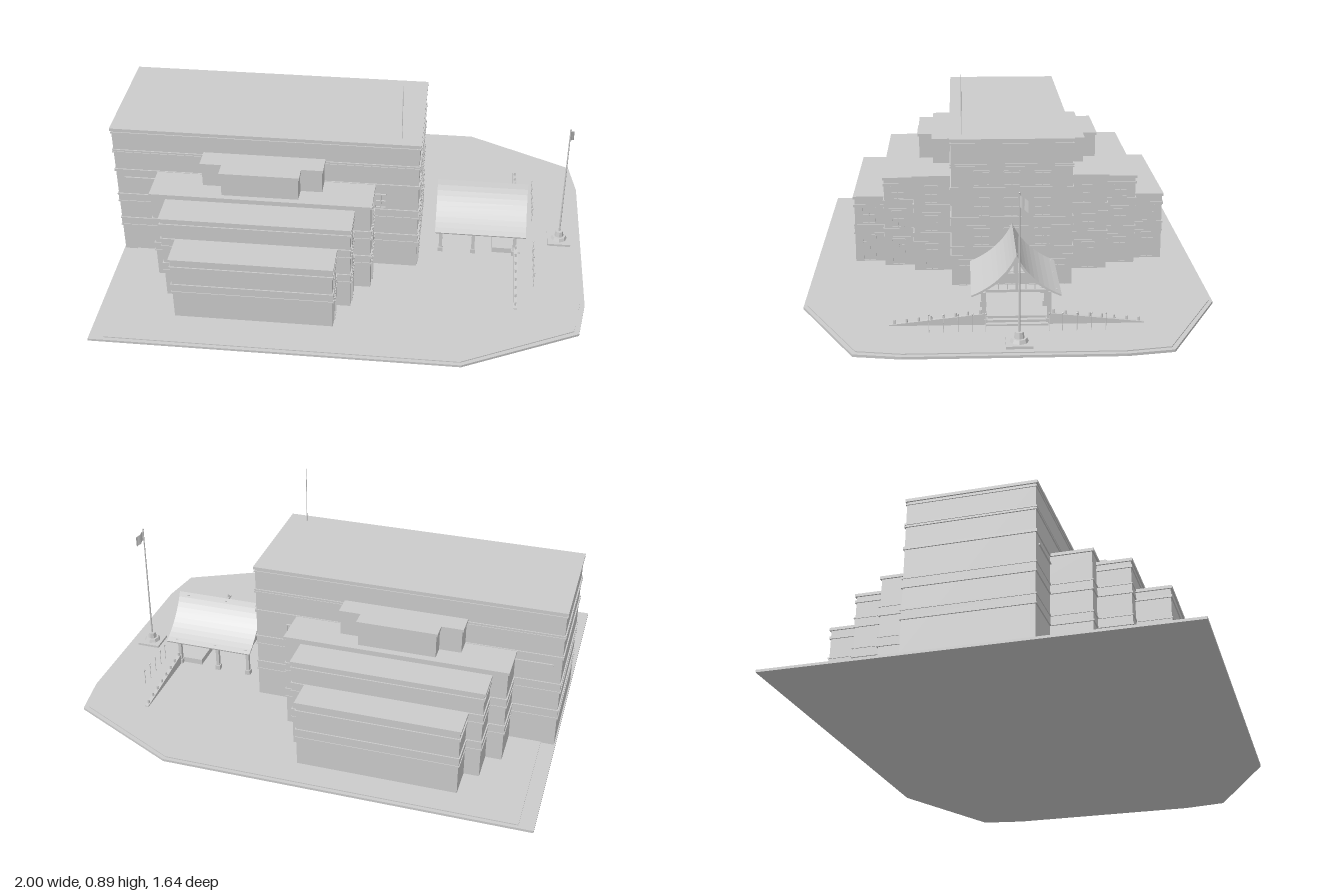
import * as THREE from 'three';

const CZ = -0.02; // symmetry axis of the building
const mat = new THREE.MeshStandardMaterial({ color: 0xcccccc, side: THREE.DoubleSide, flatShading: true });

function add(parent, name, geo, x = 0, y = 0, z = 0) {
  const m = new THREE.Mesh(geo, mat);
  m.name = name;
  m.position.set(x, y, z);
  parent.add(m);
  return m;
}

// box given by its min/max limits
function box(parent, name, x0, x1, y0, y1, z0, z1) {
  return add(parent, name, new THREE.BoxGeometry(x1 - x0, y1 - y0, z1 - z0),
    (x0 + x1) / 2, (y0 + y1) / 2, (z0 + z1) / 2);
}

function group(parent, name) {
  const g = new THREE.Group();
  g.name = name;
  parent.add(g);
  return g;
}

// flat slab with clipped front corners; half outline mirrored in z
function slab(parent, name, half, y0, y1) {
  const pts = [...half, ...half.slice().reverse().map(([x, z]) => [x, -z])];
  const shape = new THREE.Shape(pts.map(([x, z]) => new THREE.Vector2(x, z)));
  const geo = new THREE.ExtrudeGeometry(shape, { depth: y1 - y0, bevelEnabled: false });
  geo.rotateX(-Math.PI / 2);
  add(parent, name, geo, 0, y0, 0);
}

// wall volume with belt courses and a roof cap
function block(parent, name, x0, x1, z0, z1, y0, top, belts) {
  const g = group(parent, name), i = 0.006;
  box(g, 'walls', x0 + i, x1 - i, y0, top - 0.008, z0 + i, z1 - i);
  for (const [a, b] of belts) {
    box(g, 'belt', x0 + 0.004, x1 - 0.004, a, b, z0 + 0.004, z1 - 0.004);
    for (const y of [a, b]) box(g, 'ledge', x0 + 0.001, x1 - 0.001, y - 0.003, y + 0.003, z0 + 0.001, z1 - 0.001);
  }
  box(g, 'roofCap', x0, x1, top - 0.012, top, z0, z1);
  return g;
}

// framed window on a wall facing +x
function windowFrame(parent, x, z, y0, y1, w, rail = 0.5) {
  const g = group(parent, 'window'), t = 0.004, d = 0.005, h = w / 2;
  for (const s of [-1, 0, 1]) box(g, 'upright', x - d, x + d, y0, y1, z + s * h - t / 2, z + s * h + t / 2);
  for (const k of [0, rail, 1]) {
    const y = y0 + (y1 - y0) * k;
    box(g, 'rail', x - d, x + d, y - t / 2, y + t / 2, z - h, z + h);
  }
}

export function createModel() {
  const root = new THREE.Group();
  root.name = 'civicBuilding';

  // ground
  slab(root, 'ground', [[-1, 0.82], [0.5, 0.82], [0.97, 0.59], [1, 0.41]], 0, 0.01);
  slab(root, 'paving', [[-0.94, 0.805], [0.495, 0.805], [0.95, 0.58], [0.98, 0.41]], 0.008, 0.014);

  // stepped building volumes
  const low = [[0.143, 0.18]], mid = [[0.143, 0.18], [0.27, 0.307]];
  const hall = block(root, 'mainBlock', -1, 0.293, -0.275, 0.235, 0.01, 0.64, [...mid, [0.428, 0.434], [0.522, 0.532]]);
  box(hall, 'cornice', -0.998, 0.291, 0.615, 0.621, -0.273, 0.233);
  block(root, 'innerWing', -0.813, 0.108, -0.44, 0.395, 0.01, 0.435, mid);
  block(root, 'middleWing', -0.747, 0.038, -0.57, 0.525, 0.01, 0.41, [...mid, [0.375, 0.38]]);
  block(root, 'outerWing', -0.685, -0.02, -0.697, 0.657, 0.01, 0.31, [...low, [0.265, 0.27]]);
  block(root, 'roofRoom', -0.61, -0.1, -0.355, 0.315, 0.43, 0.545, []);
  block(root, 'roofBay', -0.52, -0.19, -0.417, 0.377, 0.43, 0.545, []);

  // entrance facade windows
  const facade = group(root, 'facadeWindows');
  for (const dz of [-0.125, 0, 0.125]) {
    windowFrame(facade, 0.288, CZ + dz, 0.445, 0.505, 0.065, 0.85);
    windowFrame(facade, 0.288, CZ + dz, 0.315, 0.39, 0.065, 0.5);
    windowFrame(facade, 0.288, CZ + dz, 0.19, 0.26, 0.065, 0.5);
  }
  const wings = [[0.102, 0.335], [0.032, 0.48], [-0.026, 0.61]];
  wings.forEach(([x, dz], i) => {
    for (const s of [-1, 1]) {
      const z = CZ + s * dz;
      windowFrame(facade, x, z, 0.02, 0.132, 0.055, 0.75);
      windowFrame(facade, x, z, 0.19, 0.26, 0.055);
      if (i < 2) windowFrame(facade, x, z, 0.315, i ? 0.37 : 0.39, 0.055);
    }
  });
  for (const dz of [-0.19, -0.1, 0, 0.1, 0.19]) windowFrame(facade, 0.288, CZ + dz, 0.015, 0.125, 0.06, 0.75);

  // side wall details
  for (const s of [-1, 1]) {
    const z = CZ + s * 0.251;
    box(root, 'sidePipe', -0.96, 0.1, 0.392, 0.397, z - 0.004, z + 0.004);
    const pane = windowFrame.bind(null, group(root, 'sideWindow'));
    pane(0, 0, 0.32, 0.385, 0.045);
    const g = root.children[root.children.length - 1];
    g.rotation.y = -s * Math.PI / 2;
    g.position.set(0.13, 0, z);
  }

  // roof antenna
  add(root, 'antenna', new THREE.CylinderGeometry(0.0015, 0.0015, 0.25, 6), 0.21, 0.765, 0.185);

  // entrance canopy: swept saddle roof
  const canopy = group(root, 'canopy');
  const roof = new THREE.Shape();
  roof.moveTo(-0.172, 0.145);
  roof.quadraticCurveTo(-0.05, 0.195, 0, 0.305);
  roof.quadraticCurveTo(0.05, 0.195, 0.172, 0.145);
  roof.lineTo(0.17, 0.139);
  roof.quadraticCurveTo(0.045, 0.187, 0, 0.287);
  roof.quadraticCurveTo(-0.045, 0.187, -0.17, 0.139);
  roof.closePath();
  const roofGeo = new THREE.ExtrudeGeometry(roof, { depth: 0.39, bevelEnabled: false, curveSegments: 10 });
  roofGeo.rotateY(Math.PI / 2);
  add(canopy, 'canopyRoof', roofGeo, 0.36, 0, CZ + 0.003);
  for (const x of [0.385, 0.527, 0.707]) {
    box(canopy, 'tieBeam', x - 0.006, x + 0.006, 0.143, 0.153, CZ - 0.155, CZ + 0.155);
    box(canopy, 'kingPost', x - 0.004, x + 0.004, 0.15, 0.295, CZ - 0.004, CZ + 0.004);
    for (const s of [-1, 1]) {
      const z = CZ + s * 0.125;
      box(canopy, 'post', x - 0.007, x + 0.007, 0.012, 0.15, z - 0.008, z + 0.008);
      box(canopy, 'postFoot', x - 0.011, x + 0.011, 0.012, 0.035, z - 0.013, z + 0.013);
    }
  }
  for (const s of [-1, 1]) {
    const z = CZ + s * 0.125;
    box(canopy, 'sideBeam', 0.37, 0.74, 0.143, 0.152, z - 0.005, z + 0.005);
  }
  box(canopy, 'doorLintel', 0.38, 0.49, 0.128, 0.145, CZ - 0.1, CZ + 0.1);
  for (let i = -2; i <= 2; i++) box(canopy, 'hanger', 0.705, 0.709, 0.15, 0.175, CZ + i * 0.035 - 0.002, CZ + i * 0.035 + 0.002);

  // entrance steps
  for (let i = 0; i < 3; i++) box(root, 'step', 0.61, 0.735 - i * 0.02, 0.012 + i * 0.009, 0.021 + i * 0.009, CZ - 0.12, CZ + 0.12);

  // sloping side walls with small bollards
  for (const s of [-1, 1]) {
    const ramp = new THREE.Shape();
    ramp.moveTo(0.125, 0.012);
    ramp.lineTo(0.49, 0.012);
    ramp.lineTo(0.49, 0.018);
    ramp.lineTo(0.125, 0.058);
    ramp.closePath();
    const g = group(root, 'rampWall');
    g.position.z = CZ;
    const geo = new THREE.ExtrudeGeometry(ramp, { depth: 0.016, bevelEnabled: false });
    geo.rotateY(-s * Math.PI / 2);
    add(g, 'ramp', geo, 0.712 + s * 0.008, 0, 0);
    for (let i = 0; i < 8; i++) {
      const d = 0.14 + i * 0.047, y = 0.058 - (d - 0.125) * 0.11;
      add(g, 'bollard', new THREE.CylinderGeometry(0.004, 0.005, 0.016, 6), 0.712, y + 0.007, s * d);
    }
    // row of slender garden lamps
    for (const d of [0.12, 0.17, 0.225, 0.28, 0.335]) {
      add(g, 'lampPost', new THREE.CylinderGeometry(0.0012, 0.0012, 0.07, 5), 0.788, 0.047, s * d);
      add(g, 'lampHead', new THREE.SphereGeometry(0.004, 6, 5), 0.788, 0.085, s * d);
    }
  }

  // flagpole on a stepped plinth
  const flag = group(root, 'flagpole');
  flag.position.set(0.905, 0, CZ);
  box(flag, 'plinth', -0.05, 0.05, 0.012, 0.024, -0.05, 0.05);
  add(flag, 'plinthDrum', new THREE.CylinderGeometry(0.03, 0.036, 0.015, 8), 0, 0.031, 0);
  add(flag, 'pedestal', new THREE.CylinderGeometry(0.016, 0.02, 0.025, 8), 0, 0.05, 0);
  add(flag, 'pole', new THREE.CylinderGeometry(0.0025, 0.004, 0.54, 8), 0, 0.325, 0);
  add(flag, 'finial', new THREE.SphereGeometry(0.004, 8, 6), 0, 0.595, 0);
  // rippled cloth drooping from the pole
  const cloth = new THREE.PlaneGeometry(0.042, 0.045, 8, 2);
  const p = cloth.attributes.position;
  for (let i = 0; i < p.count; i++) {
    const u = p.getX(i) + 0.021;
    p.setXYZ(i, u * 0.45 + 0.003 * Math.sin(u * 220), p.getY(i) - u * 0.5, -u * 0.85);
  }
  cloth.computeVertexNormals();
  add(flag, 'flag', cloth, 0, 0.565, 0);

  return root;
}
